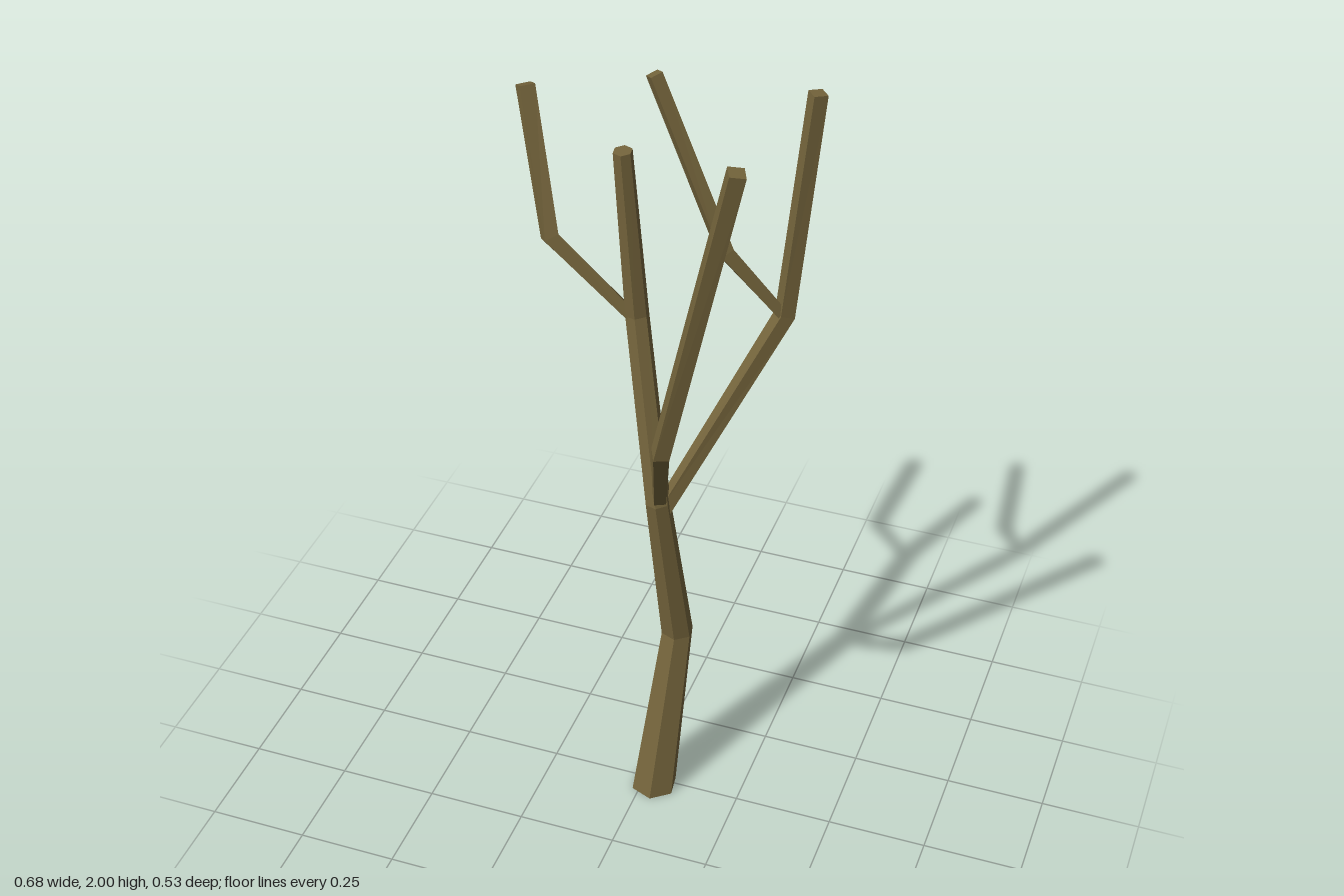
import * as THREE from 'three';

const bark = new THREE.MeshStandardMaterial({ color: 0x75653c, flatShading: true });

// Faceted, capped limb through points [x, y, z, radius]
function limb(name, sides, turn, path, flatBase = false) {
  const pts = path.map(p => new THREE.Vector3(p[0], p[1], p[2]));
  const pos = [], idx = [];
  const last = pts.length - 1;
  const dir = i => pts[i + 1].clone().sub(pts[i]).normalize();

  pts.forEach((p, i) => {
    // Each ring faces the mean direction of its neighbouring segments
    const t = new THREE.Vector3();
    if (i > 0) t.add(dir(i - 1));
    if (i < last) t.add(dir(i));
    if (i === 0 && flatBase) t.set(0, 1, 0);
    t.normalize();
    const u = new THREE.Vector3(1, 0, 0).addScaledVector(t, -t.x).normalize();
    const v = u.clone().cross(t);
    for (let j = 0; j < sides; j++) {
      const a = THREE.MathUtils.degToRad(turn) + (j / sides) * Math.PI * 2;
      const q = p.clone()
        .addScaledVector(u, Math.cos(a) * path[i][3])
        .addScaledVector(v, Math.sin(a) * path[i][3]);
      pos.push(q.x, q.y, q.z);
    }
  });

  // Side walls
  for (let i = 0; i < last; i++) {
    for (let j = 0; j < sides; j++) {
      const k = (j + 1) % sides;
      const a = i * sides + j, b = i * sides + k;
      idx.push(a, a + sides, b, b, a + sides, b + sides);
    }
  }
  // End caps
  const top = last * sides;
  for (let j = 1; j < sides - 1; j++) {
    idx.push(0, j, j + 1, top, top + j + 1, top + j);
  }

  const indexed = new THREE.BufferGeometry();
  indexed.setAttribute('position', new THREE.Float32BufferAttribute(pos, 3));
  indexed.setIndex(idx);
  const geometry = indexed.toNonIndexed();
  geometry.computeVertexNormals();
  const mesh = new THREE.Mesh(geometry, bark);
  mesh.name = name;
  return mesh;
}

export function createModel() {
  const tree = new THREE.Group();
  tree.name = 'bareTree';
  tree.add(
    // Trunk running on into the middle bough
    limb('trunk', 6, 22, [
      [0.03, 0, 0.018, 0.059], [0.062, 0.47, -0.062, 0.041],
      [0.035, 0.92, 0.01, 0.031], [-0.045, 1.39, -0.067, 0.029],
      [-0.066, 1.83, -0.034, 0.023],
    ], true),
    // Front bough
    limb('frontBranch', 4, 20, [
      [0.038, 0.92, 0.01, 0.02], [0.105, 1.205, 0.195, 0.026], [0.283, 1.99, 0.241, 0.026],
    ]),
    // Back left bough and its fork
    limb('backBranch', 4, 5, [
      [0.042, 0.89, 0.005, 0.022], [0.268, 1.37, -0.21, 0.026], [0.314, 1.935, -0.244, 0.024],
    ]),
    limb('backTwig', 4, 0, [
      [0.265, 1.37, -0.205, 0.018], [0.14, 1.55, -0.145, 0.023], [-0.032, 1.97, -0.144, 0.021],
    ]),
    // Right twig growing from the middle bough
    limb('rightTwig', 4, 5, [
      [-0.045, 1.37, -0.067, 0.018], [-0.235, 1.59, -0.012, 0.025], [-0.317, 1.92, -0.093, 0.025],
    ]),
  );
  return tree;
}
